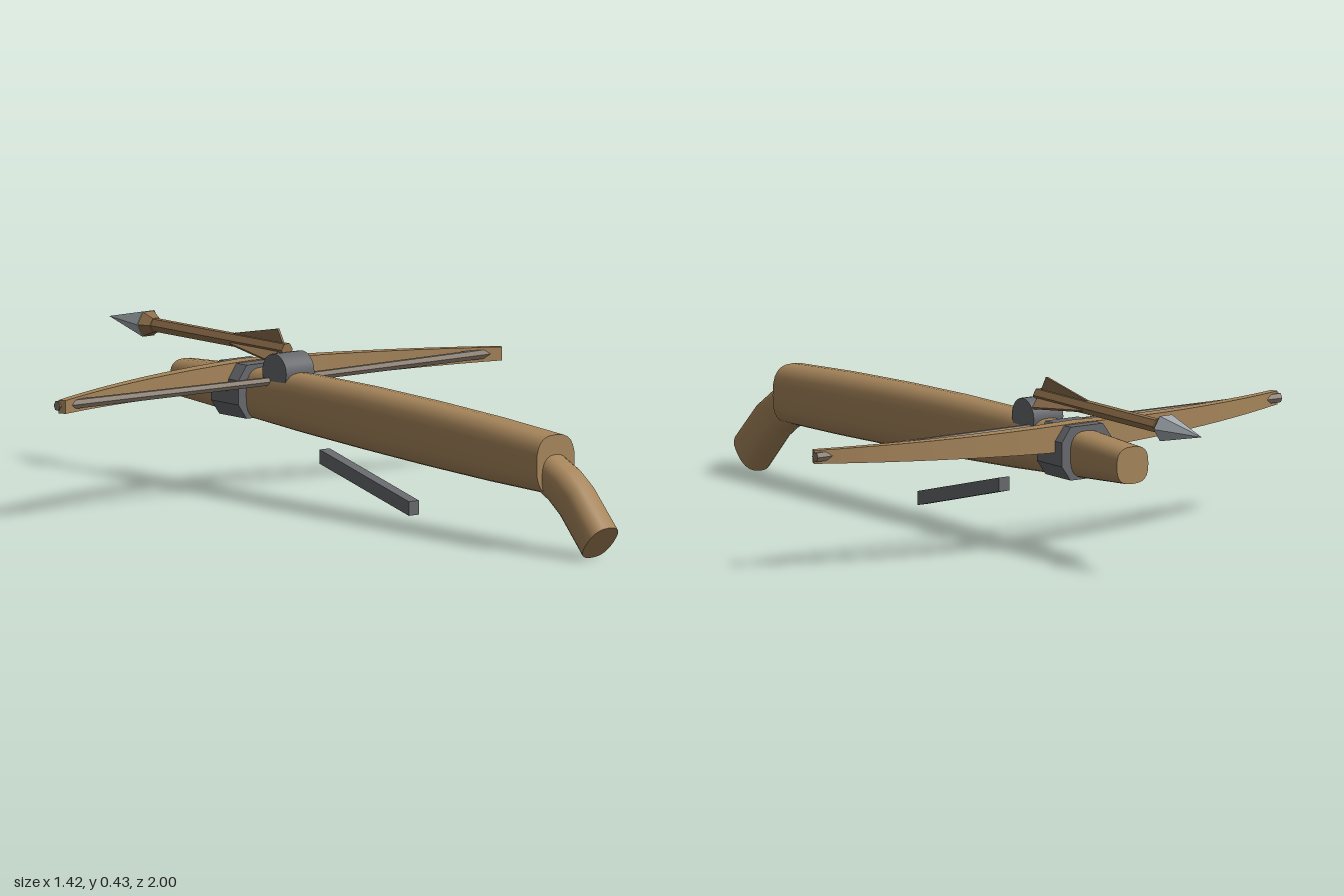
import * as THREE from 'three';

const V = (x, y, z) => new THREE.Vector3(x, y, z);
const mat = (color, flat = false) =>
  new THREE.MeshStandardMaterial({ color, flatShading: flat, side: THREE.DoubleSide });

const wood = mat(0xa5845a), woodFlat = mat(0xa5845a, true), shaftWood = mat(0x8f6f4a, true);
const iron = mat(0x66686c, true), ironSmooth = mat(0x66686c), steel = mat(0xa4abb0, true);
const cord = mat(0x85786a, true), feather = mat(0x86694a, true);

// Unit cross-sections
const square = [[1, 1], [-1, 1], [-1, -1], [1, -1]];
const rounded = (n, power) => Array.from({ length: n }, (_, i) => {
  const a = (i / n) * Math.PI * 2;
  const f = (t) => Math.sign(t) * Math.abs(t) ** (2 / power);
  return [f(Math.cos(a)), f(Math.sin(a))];
});

// Skin a profile through sections { c: centre, s: side half-axis, u: up half-axis }, with hard-edged caps
function loft(profile, sections) {
  const pos = [], index = [], n = profile.length;
  const ring = ({ c, s, u }) => {
    const start = pos.length / 3;
    for (const [a, b] of profile) pos.push(...c.clone().addScaledVector(s, a).addScaledVector(u, b).toArray());
    return start;
  };
  const rings = sections.map(ring);
  for (let i = 0; i < rings.length - 1; i++) {
    for (let j = 0; j < n; j++) {
      const k = (j + 1) % n, p = rings[i], q = rings[i + 1];
      index.push(p + j, p + k, q + k, p + j, q + k, q + j);
    }
  }
  for (const [sec, last] of [[sections[0], false], [sections[sections.length - 1], true]]) {
    const p = ring(sec), mid = pos.length / 3;
    pos.push(...sec.c.toArray());
    for (let j = 0; j < n; j++) {
      const k = (j + 1) % n;
      index.push(mid, p + (last ? j : k), p + (last ? k : j));
    }
  }
  const g = new THREE.BufferGeometry();
  g.setAttribute('position', new THREE.Float32BufferAttribute(pos, 3));
  g.setIndex(index);
  g.computeVertexNormals();
  return g;
}

// Section in the length direction, pitched downwards by an angle
const section = (z, y, w, h, pitch = 0) => ({
  c: V(0, y, z), s: V(w, 0, 0), u: V(0, Math.cos(pitch) * h, Math.sin(pitch) * h),
});

// Cylinder or cone between two points
function rod(a, b, ra, rb, sides) {
  const d = b.clone().sub(a);
  const g = new THREE.CylinderGeometry(rb, ra, d.length(), sides);
  g.applyQuaternion(new THREE.Quaternion().setFromUnitVectors(V(0, 1, 0), d.clone().normalize()));
  const m = a.clone().add(b).multiplyScalar(0.5);
  return g.translate(m.x, m.y, m.z);
}

export function createModel() {
  const model = new THREE.Group();
  const add = (name, geometry, material, parent = model) => {
    const m = new THREE.Mesh(geometry, material);
    m.name = name;
    parent.add(m);
    return m;
  };

  // Stock: slightly arched, taller and wider toward the rear
  const stock = [
    [-0.70, 0.220, 0.315, 0.048], [-0.45, 0.203, 0.328, 0.051], [-0.20, 0.186, 0.335, 0.053],
    [0.05, 0.173, 0.333, 0.056], [0.30, 0.162, 0.326, 0.058], [0.55, 0.154, 0.315, 0.060],
    [0.785, 0.150, 0.300, 0.061],
  ].map(([z, lo, hi, w]) => section(z, (lo + hi) / 2, w, (hi - lo) / 2));
  add('stock', loft(rounded(24, 2.8), stock), wood);

  // Curved rear grip
  add('grip', loft(rounded(20, 2.5), [
    section(0.68, 0.222, 0.043, 0.05, 0.25), section(0.76, 0.203, 0.044, 0.053, 0.42),
    section(0.82, 0.176, 0.045, 0.055, 0.6), section(0.87, 0.141, 0.045, 0.056, 0.7),
    section(0.963, 0.047, 0.045, 0.057, 0.73),
  ]), wood);

  // Trigger lever below the stock
  add('trigger', loft(square, [section(-0.14, 0.134, 0.016, 0.018), section(0.217, 0.045, 0.016, 0.018)]), iron);

  // Chamfered clamp holding the bow
  const clampProfile = [[1, 0.45], [0.65, 1], [-0.65, 1], [-1, 0.45], [-1, -0.45], [-0.65, -1], [0.65, -1], [1, -0.45]];
  add('bowClamp', loft(clampProfile, [section(-0.5, 0.271, 0.076, 0.068), section(-0.39, 0.271, 0.076, 0.068)]), iron);

  // Bow: tapered, swept back along a parabola
  const bow = [];
  for (let i = -12; i <= 12; i++) {
    const t = i / 12, a = Math.abs(t);
    const slope = Math.atan(2 * 0.14 * t / 0.705);
    const depth = 0.021 - 0.011 * a;
    bow.push({
      c: V(0.705 * t, 0.306, -0.452 + 0.14 * t * t),
      s: V(Math.sin(slope) * depth, 0, -Math.cos(slope) * depth),
      u: V(0, 0.036 - 0.019 * a, 0),
    });
  }
  add('bow', loft(square, bow), woodFlat);

  // Bowstring halves
  for (const side of [1, -1]) {
    add(side > 0 ? 'leftString' : 'rightString',
      rod(V(side * 0.71, 0.307, -0.327), V(0, 0.307, -0.31), 0.013, 0.011, 6), cord);
  }

  // Release nut
  add('releaseNut', rod(V(-0.045, 0.332, -0.285), V(0.045, 0.332, -0.285), 0.048, 0.048, 24), ironSmooth);

  // Bolt: shaft, collar, faceted head and three feathers
  const bolt = new THREE.Group();
  bolt.name = 'bolt';
  bolt.position.y = 0.385;
  model.add(bolt);
  const turn = Math.PI / 6; // puts hexagon corners at the sides
  const along = (z0, z1, r0, r1) => rod(V(0, 0, z0), V(0, 0, z1), r0, r1, 6).rotateZ(turn);
  add('boltShaft', along(-0.29, -0.845, 0.018, 0.018), shaftWood, bolt);
  add('boltCollar', along(-0.815, -0.845, 0.02, 0.035), shaftWood, bolt);
  add('boltHead', along(-0.845, -1.0, 0.037, 0.0005), steel, bolt);

  const finShape = new THREE.Shape([
    new THREE.Vector2(0.295, 0), new THREE.Vector2(0.325, 0.05),
    new THREE.Vector2(0.5, 0.018), new THREE.Vector2(0.5, 0),
  ]);
  for (let i = 0; i < 3; i++) {
    const g = new THREE.ExtrudeGeometry(finShape, { depth: 0.006, bevelEnabled: false });
    g.translate(0, 0, -0.003).rotateY(Math.PI / 2).rotateZ(i * Math.PI * 2 / 3);
    add('boltFeather', g, feather, bolt);
  }

  return model;
}
